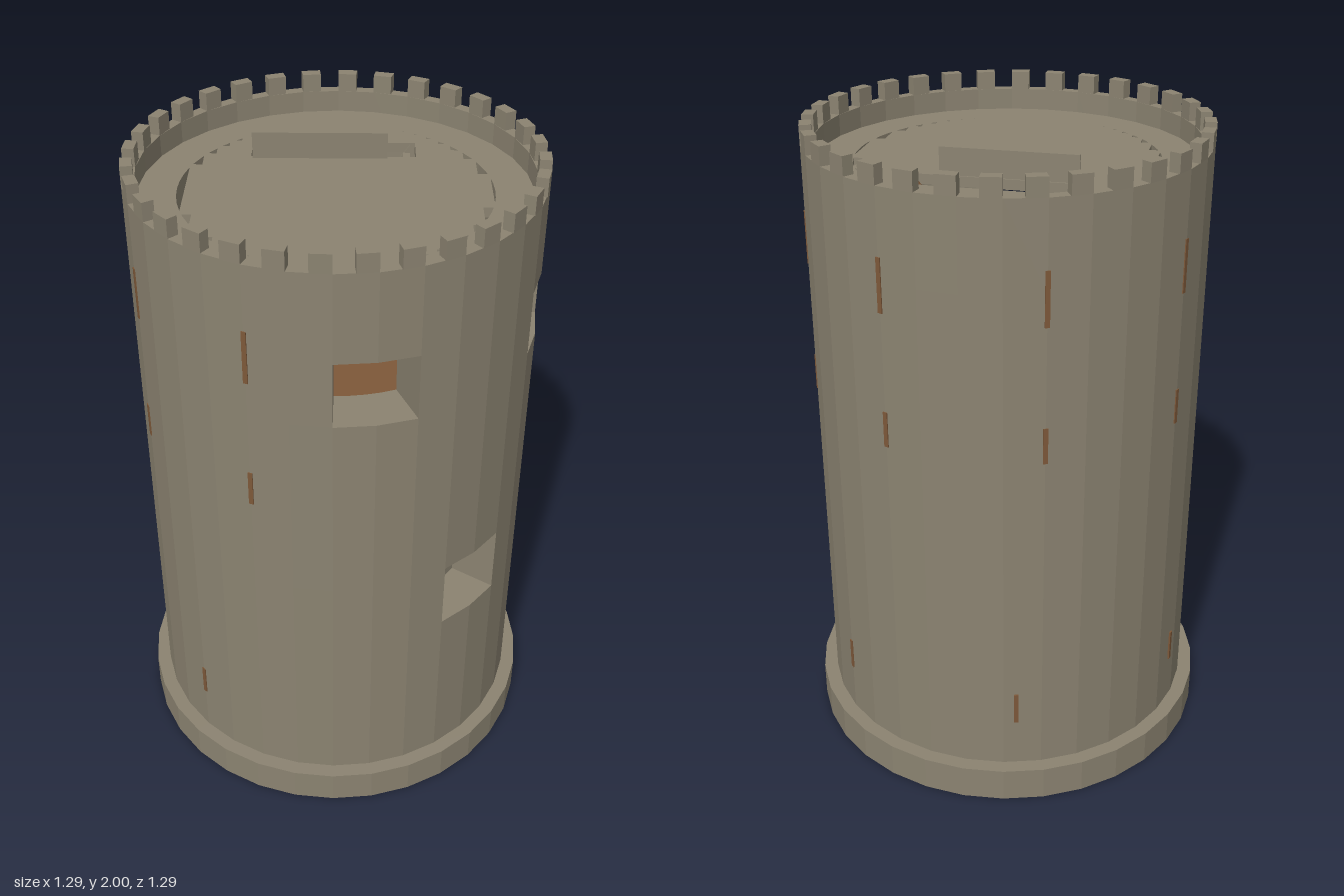
import * as THREE from 'three';

const stone = new THREE.MeshStandardMaterial({ color: 0x8b8371 });
stone.name = 'stone';
const wood = new THREE.MeshStandardMaterial({ color: 0x7d5839 });
wood.name = 'wood';

const STEP = 11.25; // degrees per wall facet
const DRUM = 0.455, PARAPET = 0.565, OUTER = 0.6;
const ROOF = 1.88, ROOM = 1.25;

export function createModel() {
  const tower = new THREE.Group();
  tower.name = 'tower';

  const add = (name, geometry, material = stone, parent = tower) => {
    const mesh = new THREE.Mesh(geometry, material);
    mesh.name = name;
    parent.add(mesh);
    return mesh;
  };
  const group = (name) => {
    const g = new THREE.Group();
    g.name = name;
    tower.add(g);
    return g;
  };
  const box = (name, x0, x1, y0, y1, z0, z1, material, parent) =>
    add(name, new THREE.BoxGeometry(x1 - x0, y1 - y0, z1 - z0), material, parent)
      .position.set((x0 + x1) / 2, (y0 + y1) / 2, (z0 + z1) / 2);

  // Solid ring or ring segment; angles in degrees from +z towards +x
  const sector = (r0, r1, y0, y1, a0 = 0, a1 = 360, step = STEP) => {
    const n = Math.max(1, Math.round((a1 - a0) / step));
    const at = (r, i) => {
      const a = THREE.MathUtils.degToRad(a0 + (a1 - a0) * i / n);
      return new THREE.Vector2(r * Math.sin(a), -r * Math.cos(a));
    };
    const outer = [], inner = [];
    for (let i = 0; i <= n; i++) {
      outer.push(at(r1, i));
      inner.push(at(r0, i));
    }
    let shape;
    if (a1 - a0 === 360) {
      shape = new THREE.Shape(outer.slice(0, -1));
      shape.holes.push(new THREE.Path(inner.slice(0, -1)));
    } else {
      shape = new THREE.Shape([...outer, ...inner.reverse()]);
    }
    const g = new THREE.ExtrudeGeometry(shape, { depth: y1 - y0, bevelEnabled: false });
    return g.rotateX(-Math.PI / 2).translate(0, y0, 0);
  };

  // Foot ring and outer wall, in bands that leave the windows open
  add('footRing', sector(OUTER - 0.005, 0.645, 0, 0.11));
  const wall = group('outerWall');
  const wallBands = [
    [0, 0.67, 0, 360],
    [0.67, 0.89, 56.25, 393.75],
    [0.89, 1.48, 0, 360],
    [1.48, 1.68, 22.5, 67.5],
    [1.48, 1.68, 90, 360],
    [1.68, 1.945, 0, 360],
  ];
  for (const [y0, y1, a0, a1] of wallBands)
    add('wallBand', sector(PARAPET, OUTER, y0, y1, a0, a1), stone, wall);

  // Battlements
  const battlements = group('battlements');
  for (let i = 0; i < 32; i++)
    add('merlon', sector(PARAPET, OUTER, 1.945, 2, (i + 0.5) * STEP, (i + 1) * STEP), stone, battlements);

  // Inner drum, open behind the two upper windows
  const drum = group('innerDrum');
  const drumBands = [
    [0, 1.48, 0, 360],
    [1.48, 1.68, 22.5, 67.5],
    [1.48, 1.68, 90, 360],
    [1.68, ROOF, 0, 360],
  ];
  for (const [y0, y1, a0, a1] of drumBands)
    add('drumBand', sector(DRUM - 0.003, DRUM, y0, y1, a0, a1, 5.625), stone, drum);

  // Window linings between the wall and the drum
  const windows = group('windowLinings');
  for (const [a, y0, y1] of [[0, 1.48, 1.68], [67.5, 1.48, 1.68], [33.75, 0.67, 0.89]]) {
    const b = a + 22.5;
    add('sill', sector(DRUM, PARAPET, y0 - 0.02, y0, a, b), stone, windows);
    add('lintel', sector(DRUM, PARAPET, y1, y1 + 0.02, a, b), stone, windows);
    add('jamb', sector(DRUM, PARAPET, y0, y1, a - 2, a), stone, windows);
    add('jamb', sector(DRUM, PARAPET, y0, y1, b, b + 2), stone, windows);
  }

  // Arrow slits
  const slits = group('arrowSlits');
  const slit = (deg, y0, y1) => {
    const a = THREE.MathUtils.degToRad(deg);
    const m = add('arrowSlit', new THREE.BoxGeometry(0.014, y1 - y0, 0.009), wood, slits);
    m.position.set(0.598 * Math.sin(a), (y0 + y1) / 2, 0.598 * Math.cos(a));
    m.rotation.y = a;
  };
  for (let i = 0; i < 6; i++) {
    slit(112.5 + 45 * i, 1.59, 1.75);
    slit(112.5 + 45 * i, 1.18, 1.29);
  }
  for (let i = 0; i < 4; i++) slit(135 + 60 * i, 0.27, 0.375);

  // Spiral stair between the wall and the drum
  const spiral = group('spiralStair');
  for (let i = 0; i < 50; i++) {
    const a = 320 + i * 5.625, y = 0.025 * (i + 1);
    add('spiralStep', sector(DRUM, PARAPET, Math.max(0.003, y - 0.05), y, a, a + 5.625, 5.625), stone, spiral);
  }

  // Roof walk and plank floors; upper floors leave white slivers at the rim
  add('roofWalk', sector(DRUM, PARAPET, ROOF - 0.03, ROOF));
  const floor = (name, top, material, stairHole) => {
    const g = group(name);
    const w = 0.035;
    for (let i = 0; i < 25; i++) {
      const x0 = -0.43 + i * w, x1 = x0 + w;
      const edge = Math.max(Math.abs(x0), Math.abs(x1));
      const h = Math.min(0.452, Math.sqrt(DRUM * DRUM - edge * edge) + 0.012);
      if (stairHole && x0 > -0.26 && x1 < 0.24) {
        box('plank', x0, x1, top - 0.03, top, -h, -0.32, material, g);
        box('plank', x0, x1, top - 0.03, top, -0.22, h, material, g);
      } else {
        box('plank', x0, x1, top - 0.03, top, -h, h, material, g);
      }
    }
  };
  floor('roofFloor', ROOF, stone, true);
  floor('roomFloor', ROOM, wood, false);

  // Ground floor of narrow boards with fine gaps
  const ground = group('groundFloor');
  for (let i = 0; i < 32; i++) {
    const x0 = -0.448 + i * 0.028;
    const h = Math.sqrt(DRUM * DRUM - (x0 + 0.014) ** 2);
    box('board', x0, x0 + 0.028, i % 2 ? 0 : 0.004, 0.03, -h, h, stone, ground);
  }

  // Straight stair from the roof down to the room
  const stair = group('roofStair');
  const count = 21, run = 0.435 / count, rise = (ROOF - ROOM) / (count + 1);
  for (let i = 0; i < count; i++) {
    const x1 = 0.22 - i * run, y = ROOF - rise * (i + 1);
    box('tread', x1 - run, x1, y - 0.03, y, -0.313, -0.23, stone, stair);
  }
  const side = new THREE.Shape([
    new THREE.Vector2(-0.25, ROOM), new THREE.Vector2(-0.17, ROOM),
    new THREE.Vector2(0.22, ROOF - 0.1), new THREE.Vector2(0.22, ROOF - 0.005),
  ]);
  const stringer = () => new THREE.ExtrudeGeometry(side, { depth: 0.008, bevelEnabled: false });
  add('stringer', stringer().translate(0, 0, -0.321), stone, stair);
  add('stringer', stringer().translate(0, 0, -0.23), wood, stair);
  box('stairRail', -0.25, 0.15, ROOF, ROOF + 0.08, -0.215, -0.207, stone, stair);

  // Wooden bench in the upper room
  box('bench', -0.36, -0.08, ROOM, 1.55, -0.16, 0.2, wood);

  return tower;
}
